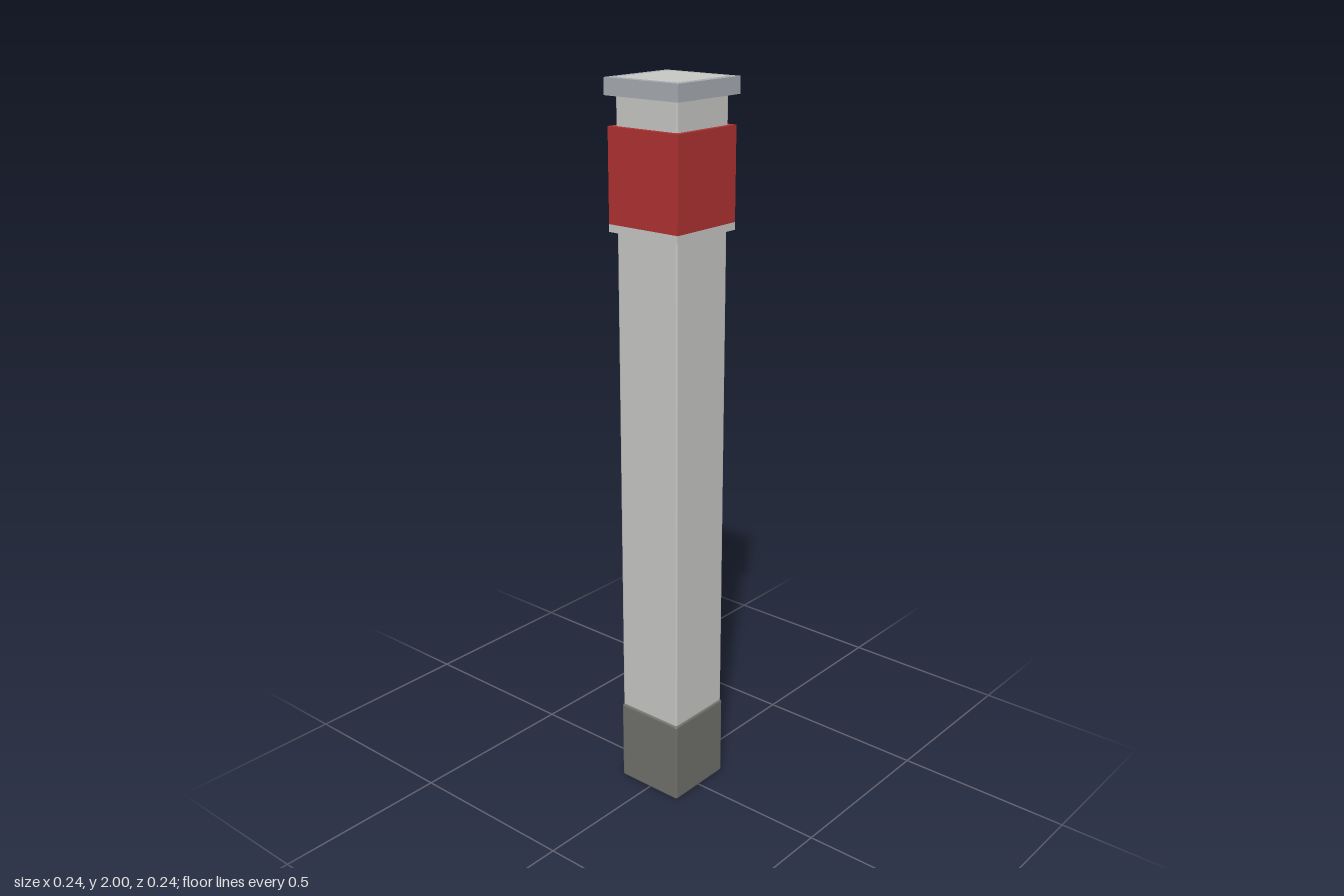
import * as THREE from 'three';
import { RoundedBoxGeometry } from 'three/addons/geometries/RoundedBoxGeometry.js';

function material(name, color) {
  const m = new THREE.MeshStandardMaterial({ color });
  m.name = name;
  return m;
}

export function createModel() {
  const group = new THREE.Group();
  group.name = 'squareMarkerPost';

  const paleGrey = material('pale grey', 0xc8c8c5);
  const red = material('red', 0xb03232);
  const darkGrey = material('dark grey', 0x70716c);
  const steel = material('steel grey', 0xa8adb3);

  // Square block between two heights, with optional softened edges
  function block(name, width, bottom, top, mat, edge = 0) {
    const height = top - bottom;
    const geometry = edge
      ? new RoundedBoxGeometry(width, height, width, 1, edge)
      : new THREE.BoxGeometry(width, height, width);
    const mesh = new THREE.Mesh(geometry, mat);
    mesh.name = name;
    mesh.position.y = (bottom + top) / 2;
    group.add(mesh);
  }

  block('base', 0.206, 0, 0.238, darkGrey, 0.006);
  // The shaft runs up through the cap and shows as a pale square on top
  block('shaft', 0.2, 0.235, 2, paleGrey, 0.006);
  block('collarTrim', 0.228, 1.615, 1.635, paleGrey);
  block('collarBand', 0.228, 1.635, 1.88, red);
  block('cap', 0.24, 1.955, 1.9985, steel);

  return group;
}
